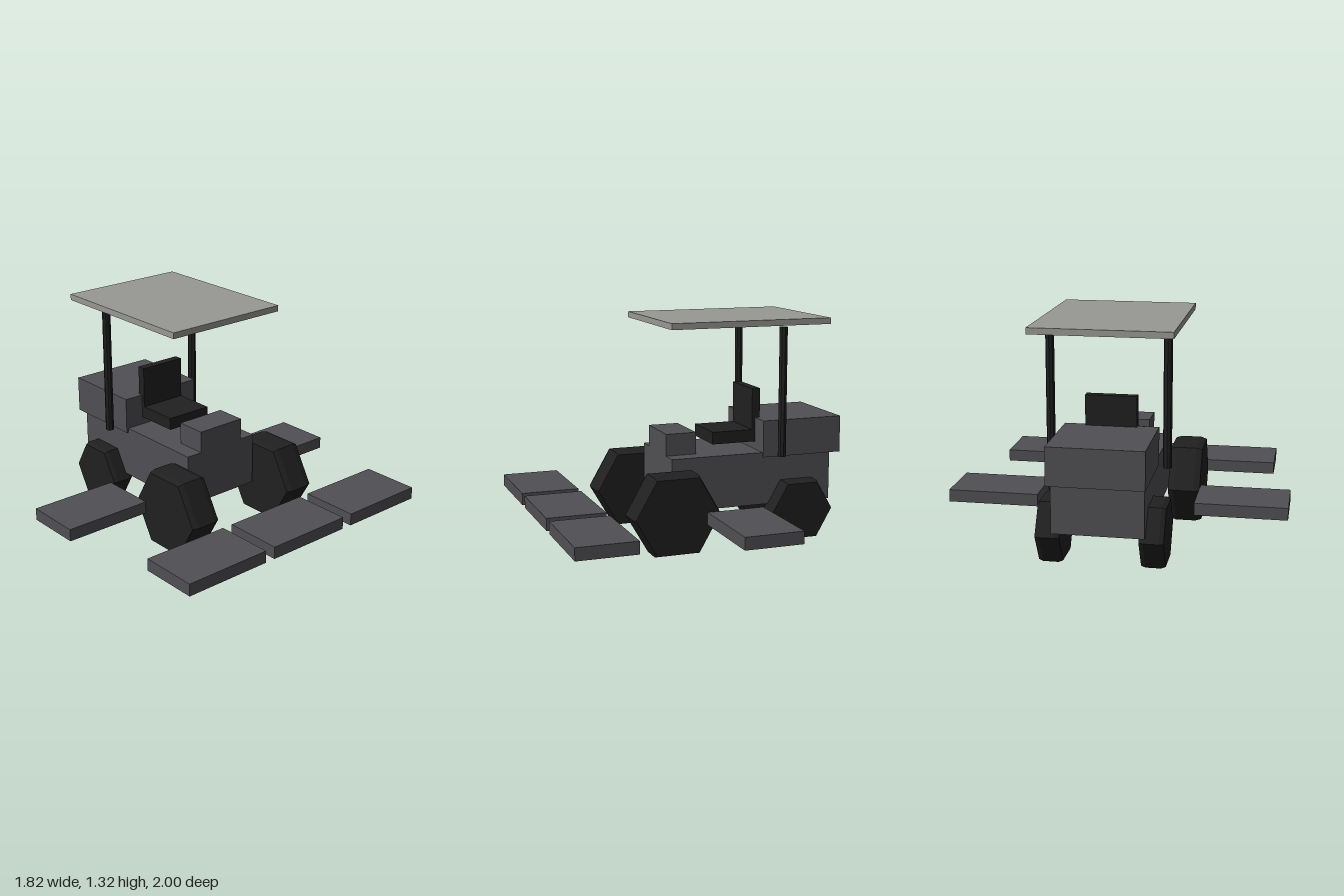
import * as THREE from 'three';

const bodyGrey = new THREE.MeshStandardMaterial({ color: 0x504f53 });
bodyGrey.name = 'bodyGrey';
const roofGrey = new THREE.MeshStandardMaterial({ color: 0x989895 });
roofGrey.name = 'roofGrey';
const black = new THREE.MeshStandardMaterial({ color: 0x202020 });
black.name = 'black';

// Box given by its extents along each axis
function box(name, material, [x0, x1], [y0, y1], [z0, z1]) {
  const mesh = new THREE.Mesh(new THREE.BoxGeometry(x1 - x0, y1 - y0, z1 - z0), material);
  mesh.position.set((x0 + x1) / 2, (y0 + y1) / 2, (z0 + z1) / 2);
  mesh.name = name;
  return mesh;
}

// Give every face its own flat normal
function faceted(geometry) {
  const flat = geometry.toNonIndexed();
  flat.computeVertexNormals();
  return flat;
}

// Six-sided wheel with chamfered rims, axle along z
function wheel(name, radius, width, chamferR, chamferW, x, y, z) {
  const h = width / 2;
  const profile = [
    [0, -h], [radius - chamferR, -h], [radius, -h + chamferW],
    [radius, h - chamferW], [radius - chamferR, h], [0, h],
  ].map(([r, t]) => new THREE.Vector2(r, t));
  const mesh = new THREE.Mesh(faceted(new THREE.LatheGeometry(profile, 6, Math.PI / 2)), black);
  mesh.rotation.x = Math.PI / 2;
  mesh.position.set(x, y, z);
  mesh.name = name;
  return mesh;
}

export function createModel() {
  const model = new THREE.Group();
  model.name = 'ridingMower';

  // Chassis, engine cover and steering console
  model.add(
    box('chassis', bodyGrey, [-0.85, 0.16], [0.215, 0.53], [-0.257, 0.257]),
    box('engineCover', bodyGrey, [-0.912, -0.408], [0.503, 0.722], [-0.27, 0.27]),
    box('console', bodyGrey, [-0.025, 0.16], [0.52, 0.66], [-0.157, 0.157]),
  );

  // Seat
  model.add(
    box('seatCushion', black, [-0.425, -0.135], [0.577, 0.65], [-0.147, 0.147]),
    box('seatBack', black, [-0.437, -0.387], [0.6, 0.898], [-0.147, 0.147]),
  );

  // Roof
  model.add(box('roof', roofGrey, [-0.77, 0.21], [1.293, 1.329], [-0.395, 0.395]));

  // Centre front cutting deck
  model.add(box('frontDeckCentre', bodyGrey, [0.56, 0.91], [0.183, 0.256], [-0.27, 0.27]));

  // Mirrored parts
  for (const side of [1, -1]) {
    const label = side > 0 ? 'Left' : 'Right';
    const span = (a, b) => (side > 0 ? [a, b] : [-b, -a]);
    model.add(
      box('frontDeck' + label, bodyGrey, [0.56, 0.91], [0.183, 0.256], span(0.335, 0.873)),
      box('sideDeck' + label, bodyGrey, [-0.326, 0.02], [0.183, 0.256], span(0.462, 1)),
      wheel('frontWheel' + label, 0.265, 0.19, 0.012, 0.035, 0.195, 0.243, side * 0.369),
      wheel('rearWheel' + label, 0.202, 0.137, 0.01, 0.025, -0.628, 0.181, side * 0.288),
    );

    const post = new THREE.Mesh(faceted(new THREE.CylinderGeometry(0.025, 0.025, 0.763, 8)), black);
    post.position.set(-0.5, 0.8975, side * 0.33);
    post.name = 'roofPost' + label;
    model.add(post);
  }
  return model;
}
